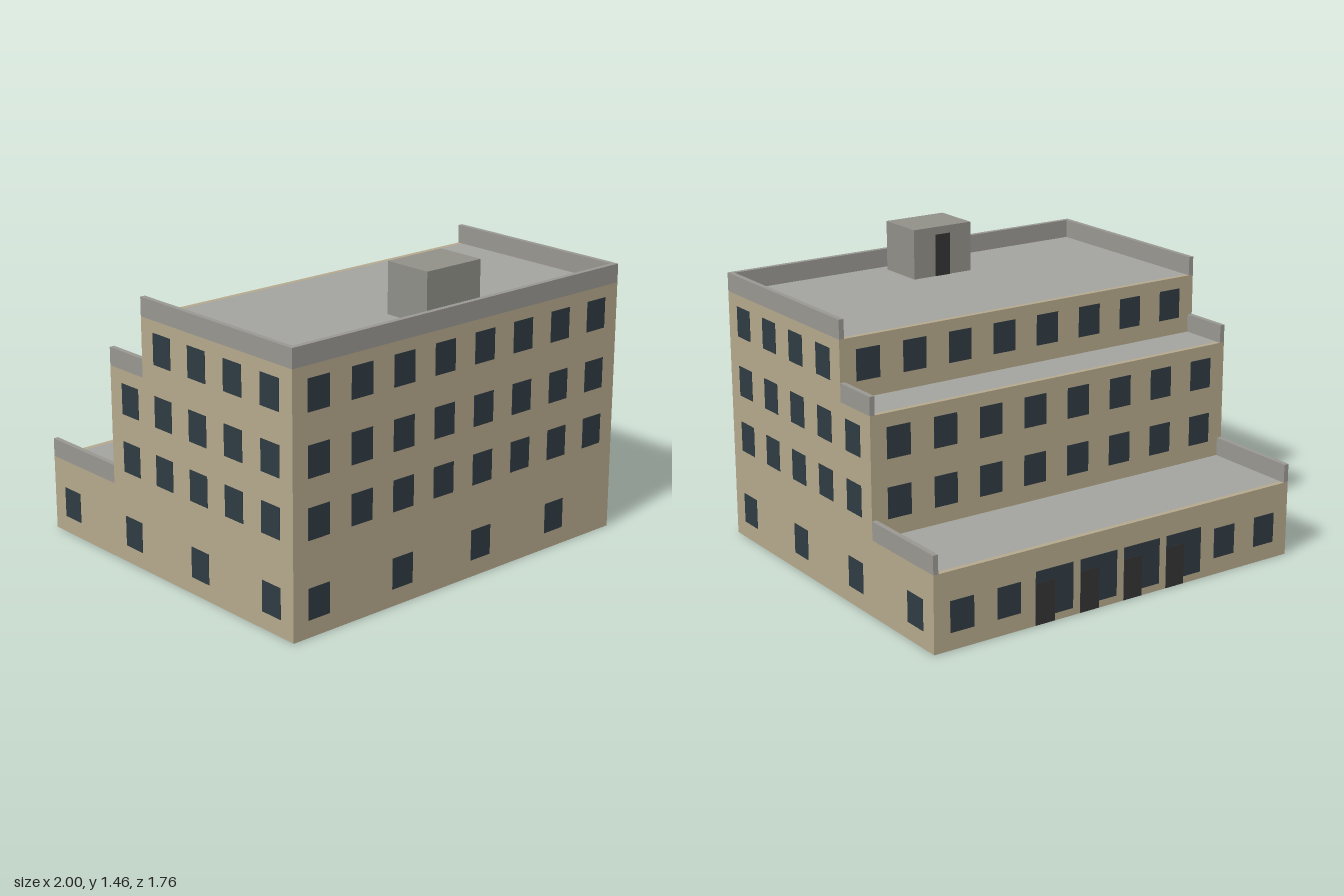
import * as THREE from 'three';

const paint = (color) => new THREE.MeshStandardMaterial({ color });
const WALL = paint(0xb5a88c), PARAPET = paint(0x999791), ROOF = paint(0xa3a39e);
const HOUSE = paint(0x908f88), GLASS = paint(0x2f3b43), DOOR = paint(0x333333);

const X = 0.998, Z = 0.876, T = 0.025; // half width, half depth, wall thickness
// Stepped storeys: back face z, base y, roof y, parapet top y
const TIERS = [
  { back: -Z, base: 0, roof: 0.365, top: 0.454 },
  { back: -0.39, base: 0.365, roof: 0.936, top: 1.023 },
  { back: -0.146, base: 0.936, roof: 1.22, top: 1.31 },
];
const ROWS = [0.155, 0.52, 0.798, 1.09]; // window centre heights
const PITCH = 0.244, WIN_W = 0.122, WIN_H = 0.147, OUT = 0.002;

export function createModel() {
  const model = new THREE.Group();
  model.name = 'steppedBuilding';

  // Box given by its minimum and maximum corners
  function block(name, mat, x0, x1, y0, y1, z0, z1) {
    const mesh = new THREE.Mesh(new THREE.BoxGeometry(x1 - x0, y1 - y0, z1 - z0), mat);
    mesh.position.set((x0 + x1) / 2, (y0 + y1) / 2, (z0 + z1) / 2);
    mesh.name = name;
    model.add(mesh);
  }

  // Side walls with the stepped outline, drawn in (-z, y)
  const outline = new THREE.Shape();
  outline.moveTo(-Z, 0);
  outline.lineTo(Z, 0);
  TIERS.forEach((t, i) => {
    outline.lineTo(-t.back, t.roof);
    outline.lineTo(i < 2 ? -TIERS[i + 1].back : -Z, t.roof);
  });
  const sideGeometry = new THREE.ExtrudeGeometry(outline, { depth: T, bevelEnabled: false });
  for (const s of [-1, 1]) {
    const wall = new THREE.Mesh(sideGeometry, WALL);
    wall.name = s > 0 ? 'leftWall' : 'rightWall';
    wall.rotation.y = Math.PI / 2;
    wall.position.x = s > 0 ? X - T : -X;
    model.add(wall);
  }

  // Front wall with its parapet
  block('frontWall', WALL, -X + T, X - T, 0, 1.22, Z - T, Z);
  block('frontParapet', PARAPET, -X, X, 1.22, 1.31, Z - T, Z);

  // Back walls, roof slabs and side parapets of every tier
  TIERS.forEach((t, i) => {
    block('backWall', WALL, -X + T, X - T, t.base, t.roof, t.back, t.back + T);
    block('roof', ROOF, -X + T, X - T, t.roof - 0.015, t.roof, t.back + T, Z - T);
    const end = i < 2 ? TIERS[i + 1].back : Z - T;
    for (const s of [-1, 1]) {
      const inner = s * (X - T), outer = s * X;
      block('sideParapet', PARAPET, Math.min(inner, outer), Math.max(inner, outer), t.roof, t.top, t.back, end);
    }
  });

  // Windows on a z-facing or x-facing wall
  const frontWindow = (x, y, z) =>
    block('window', GLASS, x - WIN_W / 2, x + WIN_W / 2, y - WIN_H / 2, y + WIN_H / 2, z - OUT, z + OUT);
  const sideWindow = (x, y, z) =>
    block('window', GLASS, x - OUT, x + OUT, y - WIN_H / 2, y + WIN_H / 2, z - WIN_W / 2, z + WIN_W / 2);

  ROWS.forEach((y, row) => {
    const backZ = TIERS[[0, 1, 1, 2][row]].back;
    for (let c = 0; c < 8; c++) {
      const x = (c - 3.5) * PITCH;
      if (row > 0 || c % 2 === 0) frontWindow(x, y, Z);
      if (row > 0 || c < 2 || c > 5) frontWindow(x, y, backZ);
    }
    for (let c = 0; c < 7; c++) {
      const z = (3 - c) * PITCH;
      const present = row === 0 ? c % 2 === 0 : z > backZ + WIN_W / 2;
      if (present) for (const s of [-1, 1]) sideWindow(s * X, y, z);
    }
  });

  // Four glazed entrances in the back wall, each with a door to one side
  for (let c = 2; c < 6; c++) {
    const x = (c - 3.5) * PITCH;
    block('entranceGlazing', GLASS, x - 0.102, x + 0.102, 0.035, 0.256, -Z - OUT, -Z + OUT);
    block('entranceDoor', DOOR, x, x + 0.102, 0.002, 0.2, -Z - 2 * OUT, -Z + OUT);
  }

  // Stair house on the top roof
  block('stairHouse', HOUSE, -0.163, 0.163, 1.22, 1.463, 0.55, 0.797);
  block('stairHouseDoor', DOOR, -0.041, 0.041, 1.22, 1.425, 0.547, 0.552);

  return model;
}
